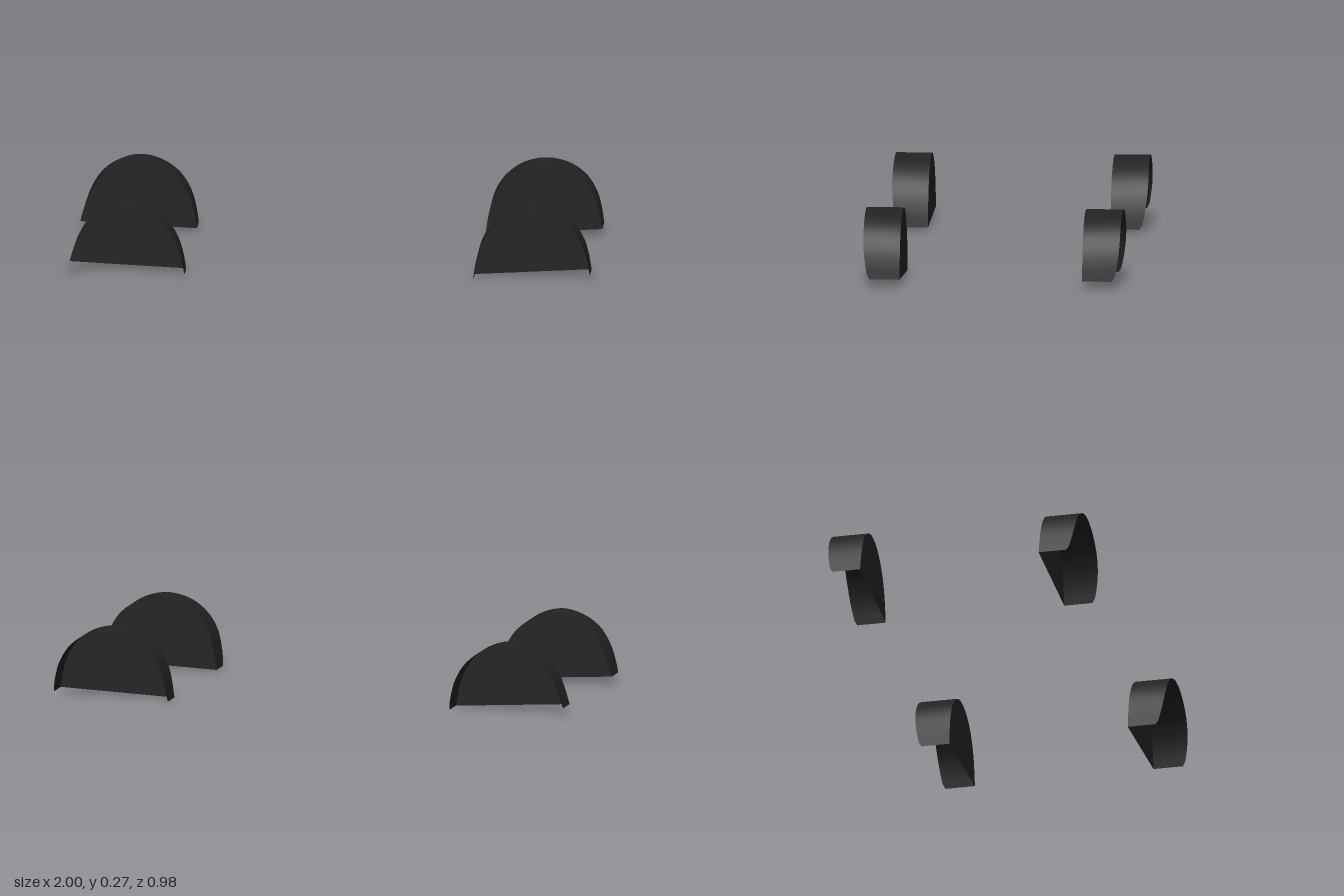
import * as THREE from 'three';

const INNER_Z = 0.35, OUTER_Z = 0.492, STEPS = 40;

const liner = new THREE.MeshStandardMaterial({ color: 0x222222, side: THREE.DoubleSide });

// arch outlines in x, y; the lower ends are slightly tilted
const leftProfile = [
  [0.553, 0], [0.563, 0.07], [0.582, 0.14], [0.62, 0.2], [0.685, 0.25], [0.775, 0.272],
  [0.868, 0.253], [0.932, 0.208], [0.972, 0.145], [0.99, 0.085], [1, 0.025],
];
const rightProfile = [
  [-1, 0.03], [-0.982, 0.09], [-0.96, 0.145], [-0.918, 0.205], [-0.855, 0.247], [-0.775, 0.266],
  [-0.69, 0.245], [-0.625, 0.197], [-0.587, 0.14], [-0.565, 0.075], [-0.553, 0.008],
];

function samples(profile) {
  const curve = new THREE.CatmullRomCurve3(profile.map(([x, y]) => new THREE.Vector3(x, y, 0)));
  return curve.getSpacedPoints(STEPS);
}

// outer rim follows a body side that tucks in towards the ground
function rimZ(p) {
  const low = Math.max(0, 1 - p.y / 0.2);
  const taper = p.x < 0 ? 0.008 * (-p.x - 0.55) / 0.45 : 0;
  return OUTER_Z - 0.027 * low * low - taper;
}

// curved band over the wheel
function bandGeometry(points, side) {
  const pos = [], index = [];
  points.forEach((p, i) => {
    const end = i === 0 || i === points.length - 1;
    const rim = rimZ(p) - (end ? 0.006 : 0);
    pos.push(p.x, p.y, side * INNER_Z, p.x, p.y, side * rim);
    if (i > 0) {
      const a = 2 * i - 2;
      if (side > 0) index.push(a, a + 1, a + 2, a + 1, a + 3, a + 2);
      else index.push(a, a + 2, a + 1, a + 1, a + 2, a + 3);
    }
  });
  const geo = new THREE.BufferGeometry();
  geo.setAttribute('position', new THREE.Float32BufferAttribute(pos, 3));
  geo.setIndex(index);
  geo.computeVertexNormals();
  return geo;
}

function wheelArch(name, profile, side) {
  const arch = new THREE.Group();
  arch.name = name;
  const points = samples(profile);

  const band = new THREE.Mesh(bandGeometry(points, side), liner);
  band.name = 'archBand';

  // flat wall closing the inboard side
  const shape = new THREE.Shape(points.map((p) => new THREE.Vector2(p.x, p.y)));
  const wall = new THREE.Mesh(new THREE.ShapeGeometry(shape), liner);
  wall.name = 'innerWall';
  wall.position.z = side * INNER_Z;

  arch.add(band, wall);
  return arch;
}

export function createModel() {
  const model = new THREE.Group();
  model.name = 'wheelArchLiners';
  for (const [end, side] of [['front', 1], ['back', -1]]) {
    model.add(wheelArch(end + 'LeftArch', leftProfile, side));
    model.add(wheelArch(end + 'RightArch', rightProfile, side));
  }
  return model;
}
